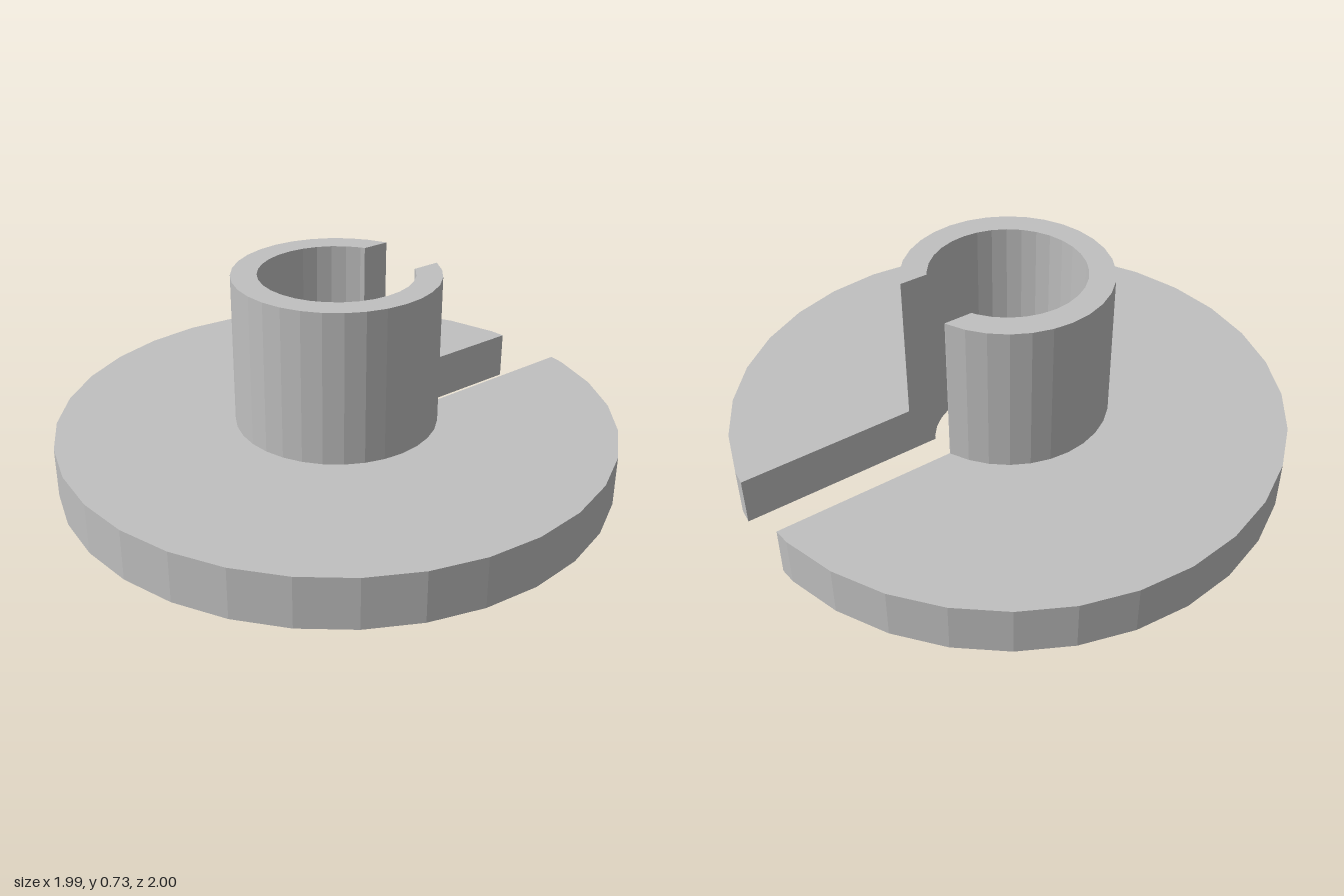
import * as THREE from 'three';

const UNIT = 1 / 11;
const SIDES = 32;
const SLOT = 1.5 * UNIT; // half width of the slot
const BORE = 3 * UNIT;

// Points of a 32-sided circle, cut off where the slot opens towards +x
function slottedArc(radius) {
  const step = (Math.PI * 2) / SIDES;
  const corner = (k) => new THREE.Vector2(Math.cos(k * step), Math.sin(k * step)).multiplyScalar(radius);
  const first = Math.floor(Math.asin(SLOT / radius) / step) + 1;
  const a = corner(first - 1), b = corner(first);
  const start = a.lerp(b, (SLOT - a.y) / (b.y - a.y));
  const points = [start];
  for (let k = first; k <= SIDES - first; k++) points.push(corner(k));
  points.push(new THREE.Vector2(start.x, -SLOT));
  return points;
}

// C-shaped ring standing between two heights
function slottedRing(name, outer, bottom, top, material) {
  const outline = [...slottedArc(outer), ...slottedArc(BORE).reverse()];
  const geometry = new THREE.ExtrudeGeometry(new THREE.Shape(outline), {
    depth: top - bottom,
    bevelEnabled: false,
  });
  geometry.rotateX(-Math.PI / 2);
  geometry.translate(0, bottom, 0);
  const mesh = new THREE.Mesh(geometry, material);
  mesh.name = name;
  return mesh;
}

export function createModel() {
  const model = new THREE.Group();
  model.name = 'slottedFlange';
  const grey = new THREE.MeshStandardMaterial({ color: 0xc0c0c0 });
  grey.name = 'grey';

  // Wide base disc and the collar on top of it
  model.add(slottedRing('flange', 1, 0, 2 * UNIT, grey));
  model.add(slottedRing('collar', 4 * UNIT, 2 * UNIT, 8 * UNIT, grey));

  // The slot shortens the +x side, so shift to stay centred
  model.children.forEach((part) => { part.position.x = 0.007; });
  return model;
}
